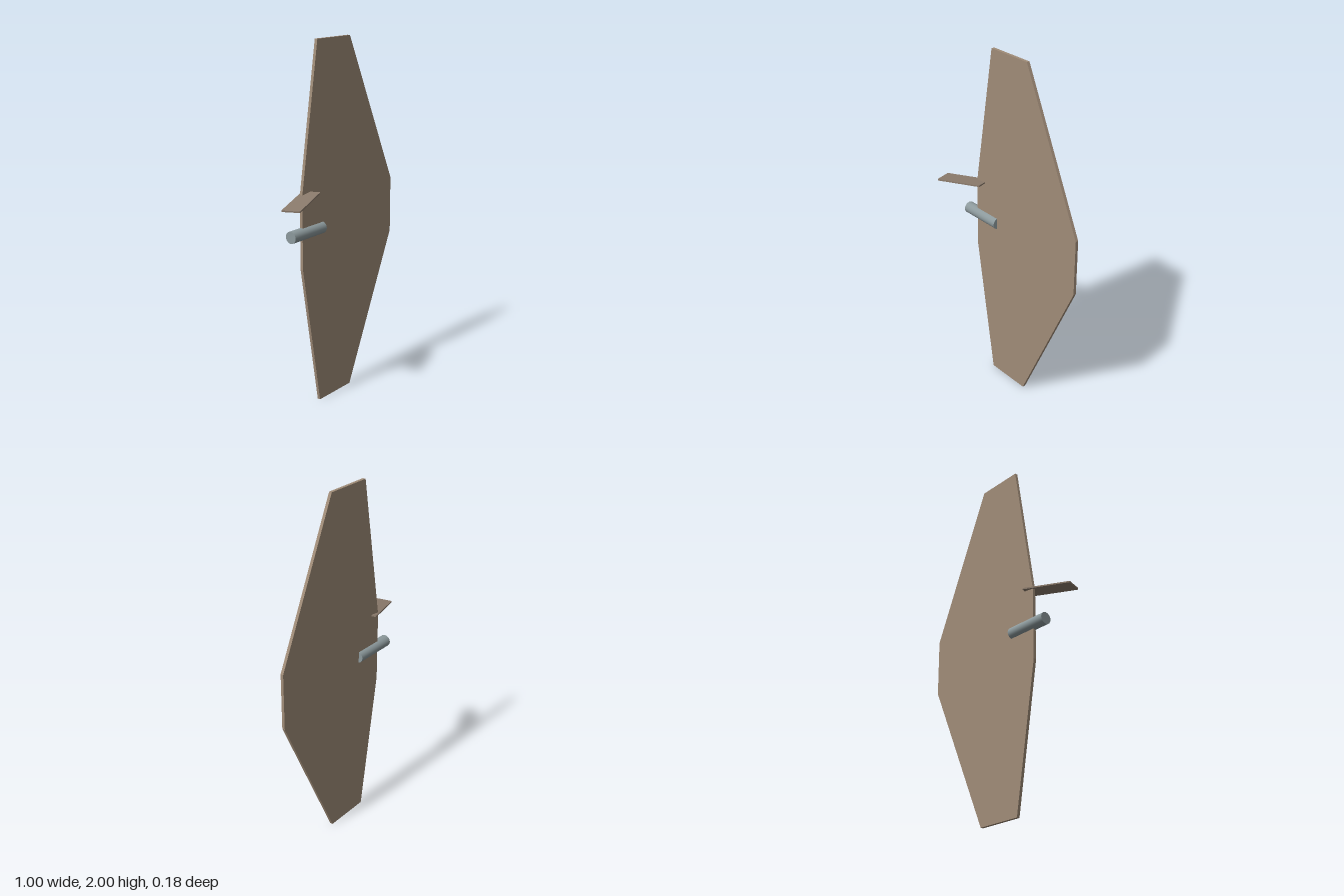
import * as THREE from 'three';

const PLATE_Z = -0.057;

// Flat slab extruded along z and centred on z = 0
function slab(shape, thickness) {
  const geometry = new THREE.ExtrudeGeometry(shape, { depth: thickness, bevelEnabled: false, curveSegments: 4 });
  return geometry.translate(0, 0, -thickness / 2);
}

function roundedRect(w, h, r) {
  const s = new THREE.Shape();
  s.absarc(w / 2 - r, h / 2 - r, r, 0, Math.PI / 2);
  s.absarc(-w / 2 + r, h / 2 - r, r, Math.PI / 2, Math.PI);
  s.absarc(-w / 2 + r, -h / 2 + r, r, Math.PI, Math.PI * 1.5);
  s.absarc(w / 2 - r, -h / 2 + r, r, Math.PI * 1.5, Math.PI * 2);
  s.closePath();
  return s;
}

export function createModel() {
  const model = new THREE.Group();
  const add = (name, geometry, color) => {
    const mesh = new THREE.Mesh(geometry, new THREE.MeshStandardMaterial({ color }));
    mesh.name = name;
    model.add(mesh);
    return mesh;
  };

  // Large eight-sided upright panel, mirrored about y = 1
  const half = [[-0.29, 0.2], [-0.157, 1], [0.113, 1], [0.5, 0.16]];
  const outline = [
    ...half.map(([x, y]) => new THREE.Vector2(x, 1 + y)),
    ...half.slice().reverse().map(([x, y]) => new THREE.Vector2(x, 1 - y)),
  ];
  const panel = add('panel', slab(new THREE.Shape(outline), 0.017), 0xa08c78);
  panel.position.z = PLATE_Z;

  // Horizontal rod crossing the panel's left edge
  const rod = add('rod', new THREE.CylinderGeometry(0.033, 0.033, 0.256, 32).rotateZ(Math.PI / 2), 0x8c999c);
  rod.position.set(-0.247, 1, PLATE_Z);

  // Small tilted slat above the rod
  const slat = add('slat', slab(roundedRect(0.281, 0.102, 0.006), 0.008).rotateX(-Math.PI / 2), 0x8b7b6c);
  slat.rotation.set(0, THREE.MathUtils.degToRad(18), THREE.MathUtils.degToRad(7), 'ZYX');
  slat.position.set(-0.354, 1.198, 0);

  return model;
}
